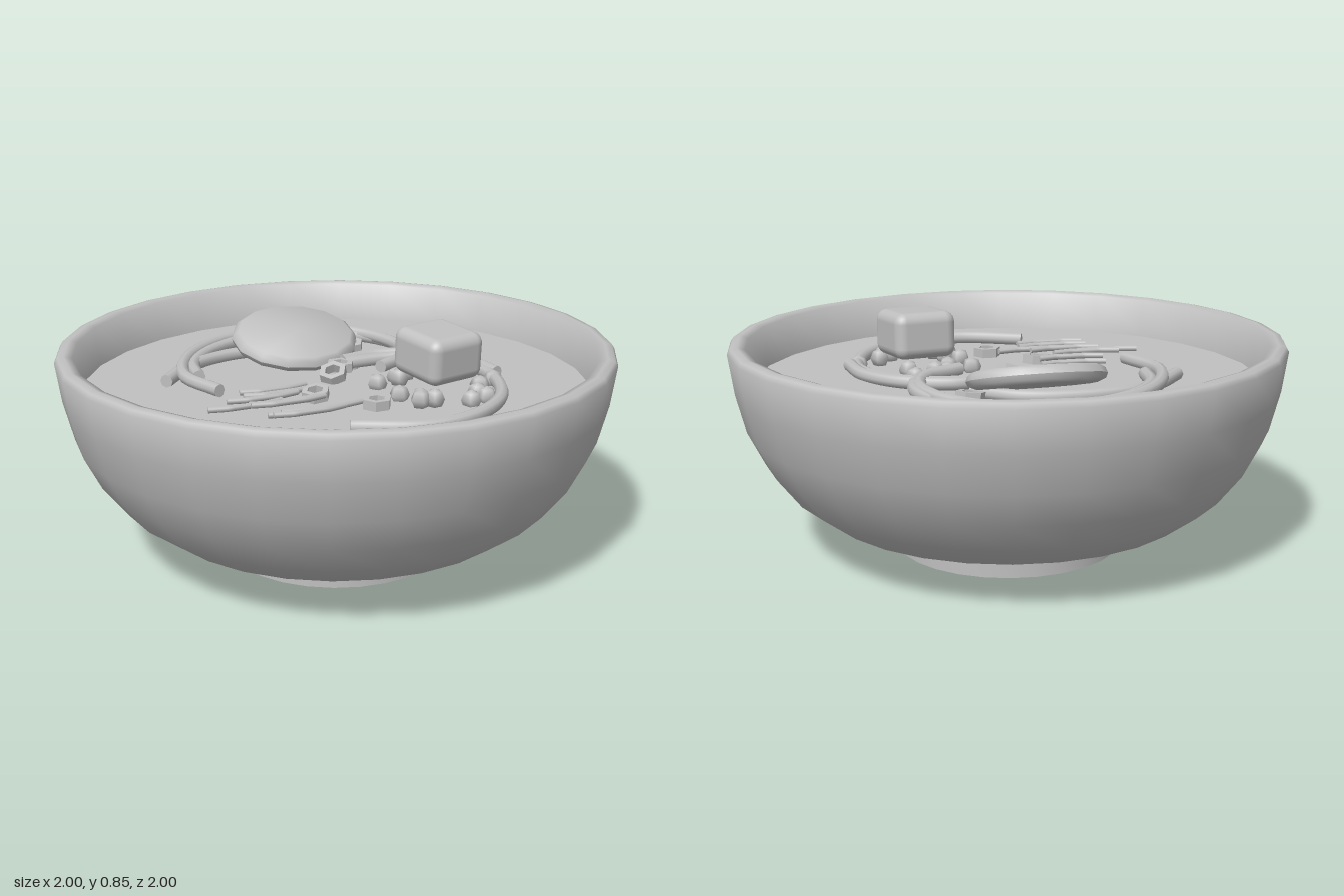
import * as THREE from 'three';
import { toCreasedNormals } from 'three/addons/utils/BufferGeometryUtils.js';
import { RoundedBoxGeometry } from 'three/addons/geometries/RoundedBoxGeometry.js';

const clay = new THREE.MeshStandardMaterial({ color: 0xc0c0c0 });
clay.name = 'plain grey';

export function createModel() {
  const model = new THREE.Group();
  model.name = 'noodleBowl';

  const add = (name, geometry, x = 0, y = 0, z = 0, parent = model) => {
    const mesh = new THREE.Mesh(geometry, clay);
    mesh.name = name;
    mesh.position.set(x, y, z);
    parent.add(mesh);
    return mesh;
  };
  const group = (name) => {
    const g = new THREE.Group();
    g.name = name;
    model.add(g);
    return g;
  };
  const lathe = (points, segments, crease) =>
    toCreasedNormals(new THREE.LatheGeometry(points.map(([x, y]) => new THREE.Vector2(x, y)), segments), crease);

  // Bowl: foot, curved outside, rim and inside
  add('bowl', lathe([
    [0, 0], [0.42, 0], [0.42, 0.085], [0.53, 0.098], [0.68, 0.15], [0.8, 0.24], [0.885, 0.35],
    [0.945, 0.47], [0.98, 0.61], [1, 0.755], [0.99, 0.772], [0.965, 0.777], [0.937, 0.768],
    [0.92, 0.62], [0.88, 0.48], [0.75, 0.29], [0.5, 0.15], [0, 0.12],
  ], 28, 1.45));

  // Soup surface
  add('soup', new THREE.CircleGeometry(0.925, 28).rotateX(-Math.PI / 2), 0, 0.62, 0);

  // Tube along points given as [x, z], capped at both ends
  const strand = (name, parent, points, y, radius, sides, steps, straight) => {
    const v = points.map(([x, z]) => new THREE.Vector3(x, y, z));
    let curve = new THREE.CatmullRomCurve3(v);
    if (straight) {
      curve = new THREE.CurvePath();
      v.slice(1).forEach((p, i) => curve.add(new THREE.LineCurve3(v[i], p)));
    }
    add(name, new THREE.TubeGeometry(curve, steps, radius, sides), 0, 0, 0, parent);
    [0, 1].forEach((t) => {
      const p = curve.getPointAt(t);
      const cap = add(name + 'End', new THREE.CircleGeometry(radius, sides), p.x, p.y, p.z, parent);
      const out = curve.getTangentAt(t).multiplyScalar(t ? 1 : -1);
      cap.quaternion.setFromUnitVectors(new THREE.Vector3(0, 0, 1), out);
    });
  };

  // Noodles
  const noodles = group('noodles');
  [
    [0.66, [[-0.46, 0.03], [-0.515, -0.18], [-0.42, -0.42], [-0.22, -0.59], [0, -0.635], [0.2, -0.57],
      [0.33, -0.42], [0.37, -0.22], [0.31, -0.08], [0.18, 0]]],
    [0.65, [[-0.46, -0.19], [-0.43, -0.34], [-0.3, -0.5], [-0.1, -0.59], [0.12, -0.585], [0.3, -0.46],
      [0.385, -0.28], [0.36, -0.11], [0.27, 0]]],
    [0.645, [[-0.58, -0.2], [-0.46, -0.33], [-0.32, -0.41], [-0.15, -0.435], [0.05, -0.4], [0.2, -0.28]]],
    [0.65, [[0.1, -0.16], [0.25, -0.18], [0.41, -0.11], [0.52, 0.03], [0.55, 0.21]]],
    [0.645, [[0.1, -0.14], [0.3, -0.13], [0.44, -0.04], [0.52, 0.12], [0.5, 0.3], [0.4, 0.48],
      [0.22, 0.6], [0.03, 0.62], [-0.19, 0.525]]],
  ].forEach(([y, points]) => strand('noodle', noodles, points, y, 0.024, 8, 36, false));

  // Thin bent shoots lying side by side
  const shoots = group('shoots');
  [
    [-0.39, 0.045, 0.25], [-0.4, 0.11, 0.25], [-0.48, 0.16, 0.26], [-0.41, 0.185, 0.28], [-0.565, 0.2, 0.27],
    [-0.42, 0.235, 0.27], [-0.34, 0.305, 0.3], [-0.4, 0.335, 0.27], [-0.39, 0.36, 0.26],
  ].forEach(([x, z, l], i) => strand('shoot', shoots,
    [[x, z], [x + l * 0.25, z + 0.015], [x + l * 0.75, z + 0.015], [x + l, z]], 0.648 + (i % 3) * 0.007, 0.011, 6, 12, true));

  // Tilted oval slice with a rounded edge
  const slice = add('roundSlice', lathe([
    [0, -0.032], [0.85, -0.03], [0.97, -0.018], [1, 0], [0.97, 0.018], [0.9, 0.03], [0, 0.034],
  ], 14, 0.7), -0.01, 0.7, -0.36);
  slice.scale.set(0.245, 1, 0.215);
  slice.rotation.x = 0.29;

  // Soft cube
  const cube = add('softCube', new RoundedBoxGeometry(0.235, 0.17, 0.245, 3, 0.04), 0.3, 0.758, 0.215);
  cube.rotation.set(0.06, 0.2, 0);

  // Six-sided onion rings
  const rings = group('onionRings');
  const hexagon = new THREE.Shape();
  const hole = new THREE.Path();
  for (let i = 0; i <= 6; i++) {
    const a = i * Math.PI / 3;
    const method = i ? 'lineTo' : 'moveTo';
    hexagon[method](0.052 * Math.cos(a), 0.052 * Math.sin(a));
    hole[method](0.03 * Math.cos(a), 0.03 * Math.sin(a));
  }
  hexagon.holes.push(hole);
  const ringShape = new THREE.ExtrudeGeometry(hexagon, { depth: 0.034, bevelEnabled: false })
    .translate(0, 0, -0.017).rotateX(-Math.PI / 2);
  [
    [0.07, 0.645, -0.115, 0], [0, 0.65, -0.025, 0.3], [-0.15, 0.645, 0.155, 0.1], [0, 0.645, 0.335, 0],
    [0.22, 0.645, -0.35, 0.1], [0.12, 0.635, -0.17, 0.1],
  ].forEach(([x, y, z, tilt]) => {
    add('onionRing', ringShape, x, y, z, rings).rotation.set(tilt, 0, tilt);
  });

  // Corn kernels
  const corn = group('corn');
  const kernel = new THREE.SphereGeometry(0.037, 5, 4);
  [
    [0.11, 0.115], [0.2, 0.11], [0.21, 0.07], [0.26, 0.055], [0.34, 0.005], [0.35, 0.085], [0.12, 0.27],
    [0.15, 0.37], [0.17, 0.33], [0.2, 0.38], [0.32, 0.425], [0.37, 0.38], [0.39, 0.41], [0.42, 0.31], [0.51, 0.25],
  ].forEach(([x, z], i) => {
    add('kernel', kernel, x, 0.638 + (i % 2) * 0.008, z, corn).rotation.y = i * 1.1;
  });

  return model;
}
